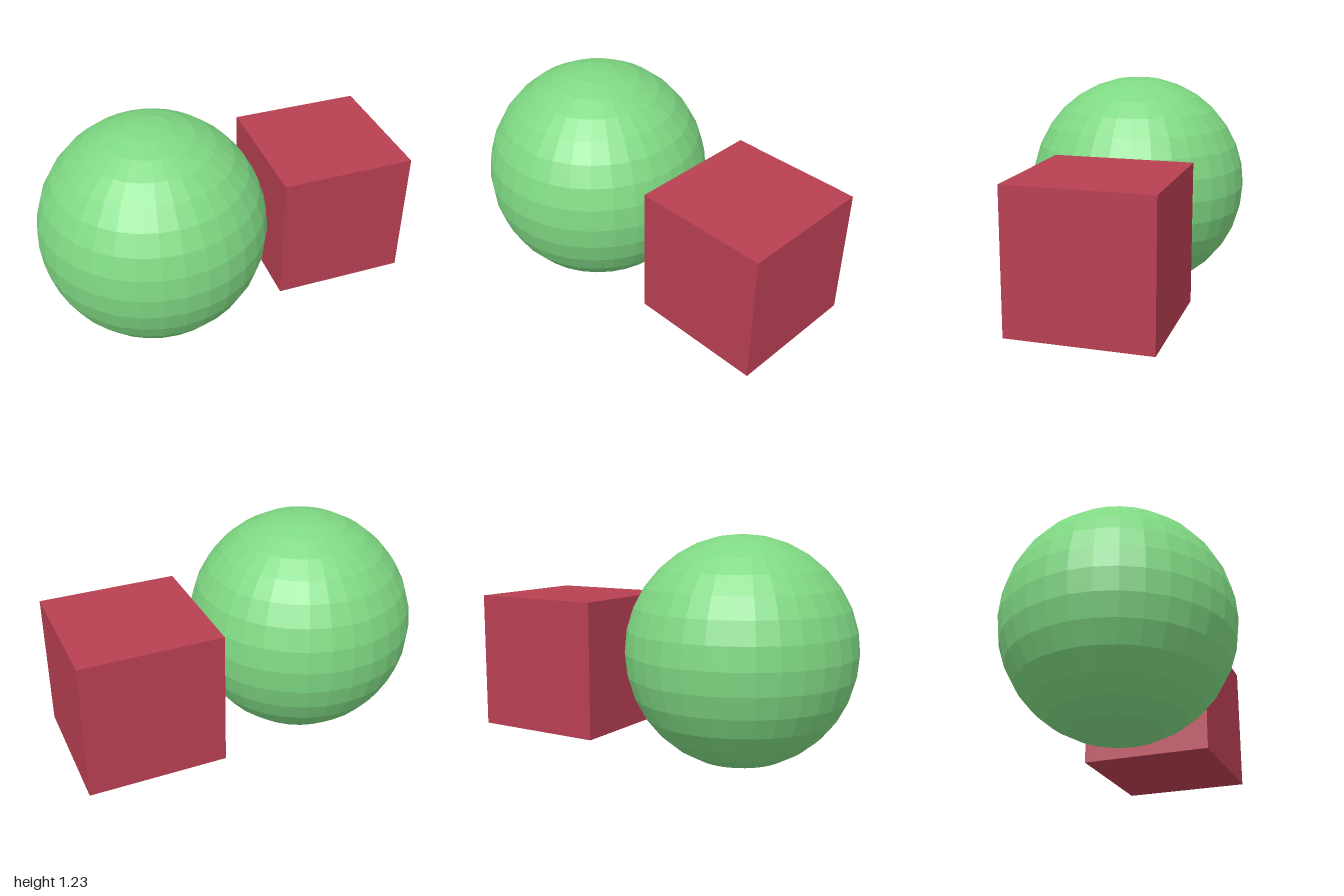
import * as THREE from 'three';

export function createModel() {
  const model = new THREE.Group();
  model.name = 'ballAndCube';

  const add = (name, geometry, color, x, y, z) => {
    const material = new THREE.MeshStandardMaterial({ color, flatShading: true });
    const mesh = new THREE.Mesh(geometry, material);
    mesh.name = name;
    mesh.position.set(x, y, z);
    model.add(mesh);
  };

  // Faceted ball
  add('ball', new THREE.SphereGeometry(0.615, 32, 16), 0x7fd883, -0.385, 0.617, 0);

  // Cube beside it, set slightly back
  add('cube', new THREE.BoxGeometry(0.733, 0.733, 0.733), 0xb83f52, 0.633, 0.513, -0.1);

  return model;
}
